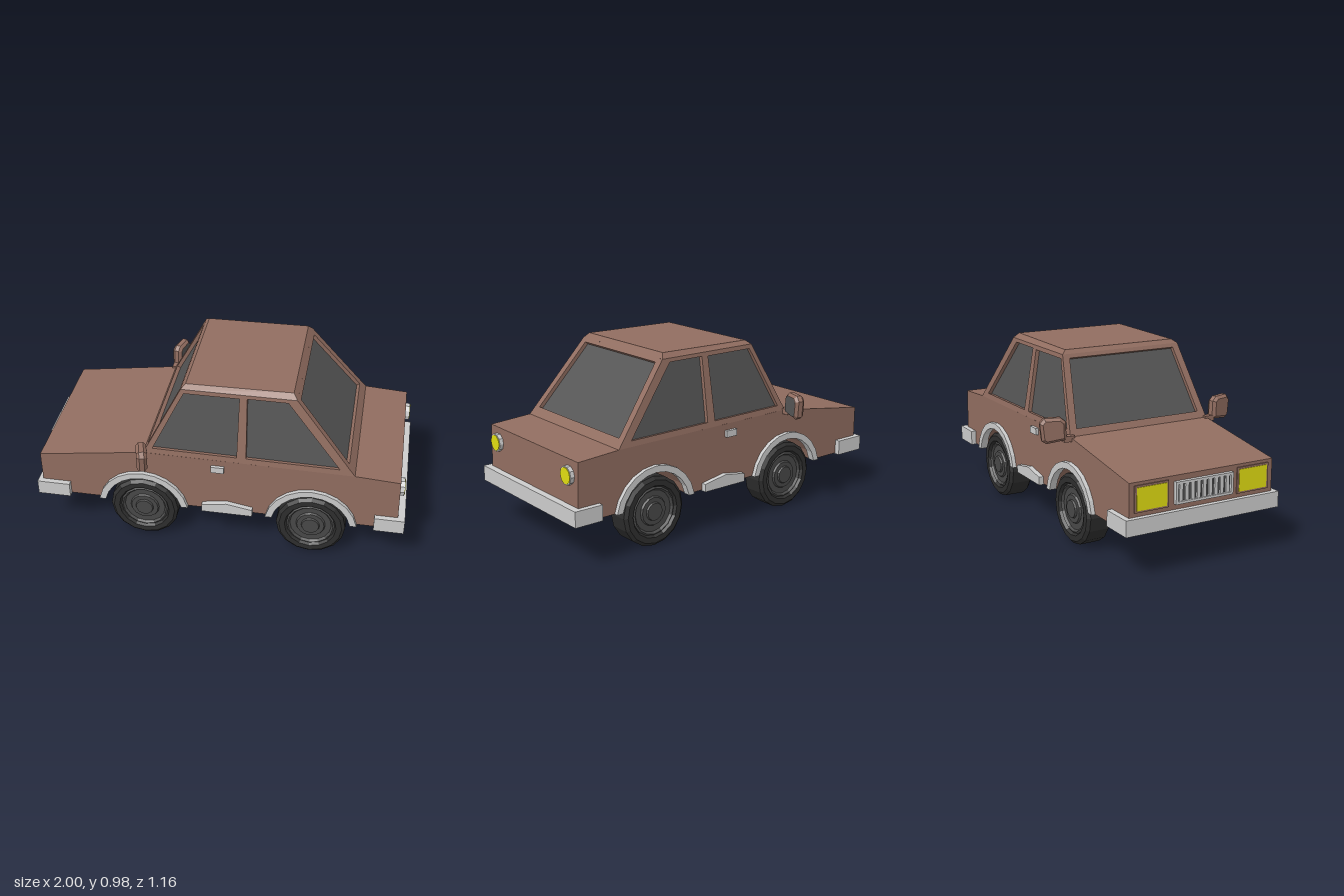
import * as THREE from 'three';

const mat = (color) => new THREE.MeshStandardMaterial({ color, flatShading: true, side: THREE.DoubleSide });
const paint = mat(0x916d60), glass = mat(0x555555), trim = mat(0xcccccc);
const yellow = mat(0xe0dc12), rubber = mat(0x2e2e2e), rim = mat(0x484848);

const toShape = (pts) => new THREE.Shape(pts.map(([x, y]) => new THREE.Vector2(x, y)));

function mesh(name, geometry, material, x = 0, y = 0, z = 0) {
  const m = new THREE.Mesh(geometry, material);
  m.name = name;
  m.position.set(x, y, z);
  return m;
}

function box(name, material, w, h, d, x, y, z) {
  return mesh(name, new THREE.BoxGeometry(w, h, d), material, x, y, z);
}

function extrude(pts, depth) {
  return new THREE.ExtrudeGeometry(toShape(pts), { depth, bevelEnabled: false });
}

const FLOOR = 0.235, AXLE_Y = 0.19, AXLES = [-0.41, 0.505], HALF = 0.418;

// Points over a wheel from left to right, ending at floor height
function archPoints(cx, r, steps = 10) {
  const a = Math.asin((FLOOR - AXLE_Y) / r);
  return Array.from({ length: steps + 1 }, (_, i) => {
    const t = Math.PI - a - (i / steps) * (Math.PI - 2 * a);
    return [cx + r * Math.cos(t), AXLE_Y + r * Math.sin(t)];
  });
}

// Sloped cabin wall with framed openings and recessed glass
function cabinWall(name, outline, openings, origin, u, v) {
  const wall = new THREE.Group();
  wall.name = name;
  const shape = toShape(outline);
  openings.forEach((o) => shape.holes.push(new THREE.Path(toShape(o).getPoints())));
  const frame = new THREE.ExtrudeGeometry(shape, { depth: 0.025, bevelEnabled: false });
  frame.translate(0, 0, -0.025);
  const U = new THREE.Vector3(...u), V = new THREE.Vector3(...v);
  const N = U.clone().cross(V).normalize();
  const place = new THREE.Matrix4().makeBasis(U, V, N).setPosition(...origin);
  wall.add(mesh(name + 'Frame', frame.applyMatrix4(place), paint));
  openings.forEach((o) => {
    const pane = new THREE.ShapeGeometry(toShape(o)).translate(0, 0, -0.021);
    wall.add(mesh(name + 'Glass', pane.applyMatrix4(place), glass));
  });
  return wall;
}

const trapezoid = (b, y0, t, y1) => [[-b, y0], [b, y0], [t, y1], [-t, y1]];

function createWheel(x) {
  const wheel = new THREE.Group();
  wheel.name = 'wheel';
  const turn = (pts) => new THREE.LatheGeometry(pts.map(([r, h]) => new THREE.Vector2(r, h)), 16).rotateX(Math.PI / 2);
  wheel.add(mesh('tire', turn([[0, -0.06], [0.13, -0.06], [0.14, -0.07], [0.17, -0.07], [0.187, -0.055],
    [0.187, 0.055], [0.17, 0.07], [0.14, 0.07], [0.13, 0.055]]), rubber));
  wheel.add(mesh('rim', turn([[0.132, 0.055], [0.122, 0.062], [0.112, 0.05], [0.08, 0.05], [0.074, 0.06],
    [0.05, 0.06], [0.046, 0.07], [0, 0.07]]), rim));
  wheel.position.set(x, AXLE_Y, 0.355);
  return wheel;
}

function createMirror() {
  const mirror = new THREE.Group();
  mirror.name = 'wingMirror';
  const outline = [[0, 0.015], [0.105, 0], [0.127, 0.015], [0.137, 0.105], [0.115, 0.132], [0.03, 0.132], [0.004, 0.11]];
  const housing = new THREE.ExtrudeGeometry(toShape(outline), {
    depth: 0.025, bevelThickness: 0.015, bevelSize: 0.014, bevelOffset: -0.014, bevelSegments: 1,
  });
  const pane = new THREE.ShapeGeometry(toShape(outline)).translate(-0.068, -0.066, 0).scale(0.78, 0.78, 1);
  const head = new THREE.Group();
  head.name = 'mirrorHead';
  head.add(mesh('mirrorHousing', housing, paint), mesh('mirrorGlass', pane, glass, 0.068, 0.066, -0.017));
  head.position.set(-0.39, 0.548, 0.44);
  head.rotation.y = -1.3;
  mirror.add(head, box('mirrorArm', paint, 0.035, 0.03, 0.06, -0.4, 0.565, 0.43));
  return mirror;
}

// Everything that exists once on each flank
function createFlank() {
  const flank = new THREE.Group();
  flank.name = 'flank';
  flank.add(cabinWall('sideWall',
    [[-0.4, 0.57], [0.72, 0.56], [0.4, 0.955], [-0.2, 0.955]],
    [[[-0.35, 0.6], [0.1, 0.595], [0.105, 0.932], [-0.185, 0.932]],
      [[0.15, 0.595], [0.64, 0.59], [0.355, 0.935], [0.145, 0.935]]],
    [0, 0, 0.511], [1, 0, 0], [0, 1, -0.165]));
  AXLES.forEach((x) => {
    const ring = [...archPoints(x, 0.25), ...archPoints(x, 0.215).reverse()];
    flank.add(mesh('wheelArchTrim', extrude(ring, 0.04), trim, 0, 0, 0.4));
    flank.add(createWheel(x));
  });
  const sill = [[-0.085, 0.23], [0.19, 0.23], [0.19, 0.272], [0.05, 0.297], [-0.085, 0.275]];
  flank.add(mesh('sill', extrude(sill, 0.04), trim, 0, 0, 0.405));
  flank.add(box('doorHandle', trim, 0.07, 0.036, 0.03, 0, 0.514, 0.42));
  flank.add(createMirror());

  // Round tail light in a ring
  const disc = (r, h) => new THREE.CylinderGeometry(r, r, h, 10).rotateZ(Math.PI / 2);
  flank.add(mesh('tailLightRing', disc(0.049, 0.03), trim, 0.965, 0.464, 0.34));
  flank.add(mesh('tailLight', disc(0.043, 0.03), yellow, 0.968, 0.464, 0.34));
  // Square headlight in a painted frame
  flank.add(box('headlightFrame', paint, 0.02, 0.135, 0.19, -0.971, 0.402, 0.295));
  flank.add(box('headlight', yellow, 0.02, 0.115, 0.168, -0.974, 0.402, 0.295));
  return flank;
}

// Wrap-around bumper, dir = -1 front, 1 rear
function createBumper(name, dir, tip) {
  const pts = [[1, -0.447], [1, 0.447], [tip, 0.447], [tip, 0.41], [0.955, 0.41], [0.955, -0.41], [tip, -0.41], [tip, -0.447]];
  const geometry = extrude(pts.map(([x, z]) => [x * dir, z]), 0.083).rotateX(-Math.PI / 2);
  return mesh(name, geometry, trim, 0, 0.231, 0);
}

export function createModel() {
  const car = new THREE.Group();
  car.name = 'car';

  // Lower body with wheel tunnels
  const profile = [[-0.975, FLOOR], ...archPoints(AXLES[0], 0.222), ...archPoints(AXLES[1], 0.222),
    [0.965, FLOOR], [0.957, 0.545], [0.72, 0.56], [-0.4, 0.57], [-0.975, 0.485]];
  car.add(mesh('body', extrude(profile, HALF * 2), paint, 0, 0, -HALF));

  // Front and rear screens
  car.add(cabinWall('windscreen', trapezoid(HALF, 0.57, 0.354, 0.955), [trapezoid(0.372, 0.605, 0.318, 0.935)],
    [-0.4 - 0.57 * 0.52, 0, 0], [0, 0, 1], [0.52, 1, 0]));
  car.add(cabinWall('rearScreen', trapezoid(HALF, 0.56, 0.354, 0.955), [trapezoid(0.372, 0.603, 0.315, 0.937)],
    [0.72 + 0.56 * 0.81, 0, 0], [0, 0, -1], [-0.81, 1, 0]));

  // Roof with chamfered rim
  const roof = new THREE.BoxGeometry(1, 1, 1);
  const p = roof.attributes.position;
  for (let i = 0; i < p.count; i++) {
    const top = p.getY(i) > 0, rear = p.getX(i) > 0;
    const x = top ? (rear ? 0.378 : -0.178) : (rear ? 0.4 : -0.2);
    const y = top ? (rear ? 0.982 : 0.975) : 0.955;
    p.setXYZ(i, x, y, Math.sign(p.getZ(i)) * (top ? 0.328 : 0.354));
  }
  car.add(mesh('roof', roof, paint));

  car.add(createBumper('frontBumper', -1, 0.82), createBumper('rearBumper', 1, 0.84));

  // Grille: backing, rim and upright bars
  const grille = new THREE.Group();
  grille.name = 'grille';
  grille.add(box('grilleBack', rim, 0.02, 0.1, 0.32, -0.972, 0.4, 0));
  [-1, 1].forEach((s) => {
    grille.add(box('grilleRail', trim, 0.03, 0.013, 0.335, -0.98, 0.4 + s * 0.05, 0));
    grille.add(box('grilleEnd', trim, 0.03, 0.11, 0.013, -0.98, 0.4, s * 0.161));
  });
  for (let i = 0; i < 9; i++) grille.add(box('grilleBar', trim, 0.022, 0.1, 0.02, -0.98, 0.4, (i - 4) * 0.034));
  car.add(grille);

  // Flanks mirrored across the centre line
  const left = createFlank(), right = createFlank();
  right.scale.z = -1;
  car.add(left, right);
  return car;
}
